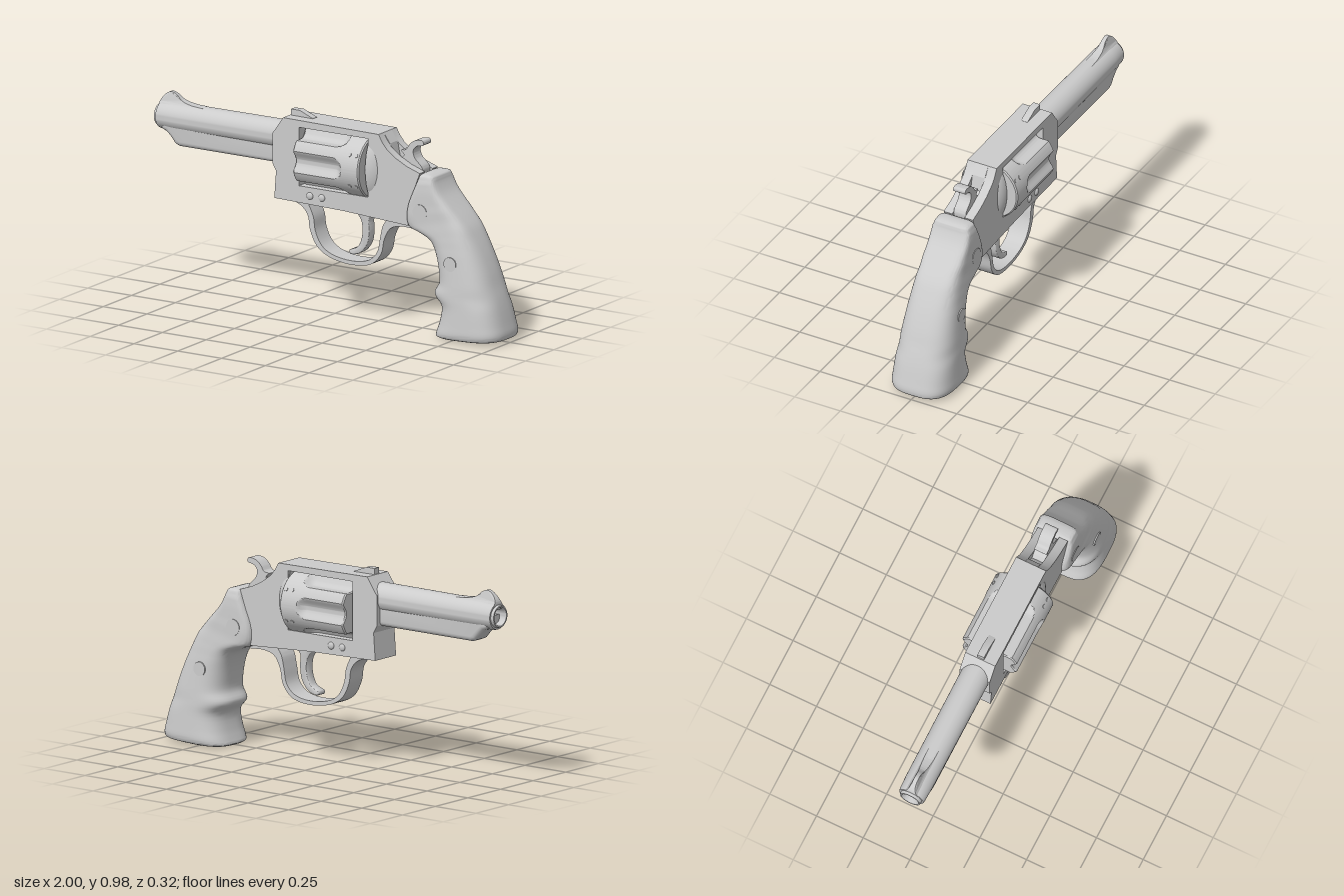
import * as THREE from 'three';
import { toCreasedNormals, mergeVertices } from 'three/addons/utils/BufferGeometryUtils.js';

const mat = new THREE.MeshStandardMaterial({ color: 0xcccccc, roughness: 0.6, side: THREE.DoubleSide });
const V2 = (p) => p.map(([x, y]) => new THREE.Vector2(x, y));

export function createModel() {
  const model = new THREE.Group();
  const add = (name, geo, x = 0, y = 0, z = 0) => {
    const m = new THREE.Mesh(geo, mat);
    m.name = name;
    m.position.set(x, y, z);
    model.add(m);
    return m;
  };

  // Side outline extruded across z, from z0 to z1, with optional bevel and hole
  const plate = (pts, z0, z1, { hole, bevel = 0, crease = 0.6 } = {}) => {
    const shape = pts.isShape ? pts : new THREE.Shape(V2(pts));
    if (hole) shape.holes.push(new THREE.Path(V2(hole)));
    const g = new THREE.ExtrudeGeometry(shape, {
      depth: z1 - z0 - 2 * bevel, curveSegments: 10, bevelEnabled: bevel > 0,
      bevelSize: bevel, bevelThickness: bevel, bevelOffset: -bevel, bevelSegments: 4,
    });
    g.translate(0, 0, z0 + bevel);
    return toCreasedNormals(g, crease);
  };

  // Smooth closed outline through a few points
  const smooth = (pts, n = 70, closed = true) =>
    new THREE.CatmullRomCurve3(pts.map(([x, y]) => new THREE.Vector3(x, y, 0)), closed)
      .getPoints(n).slice(0, closed ? n : n + 1).map((p) => [p.x, p.y]);

  // Surface from a grid of points, closed around its columns
  const loft = (rows, cols, fn, crease) => {
    const pos = [], idx = [];
    for (let i = 0; i <= rows; i++)
      for (let j = 0; j < cols; j++) pos.push(...fn(i, (j / cols) * Math.PI * 2));
    for (let i = 0; i < rows; i++)
      for (let j = 0; j < cols; j++) {
        const a = i * cols + j, b = i * cols + ((j + 1) % cols);
        idx.push(a, a + cols, b, b, a + cols, b + cols);
      }
    const g = new THREE.BufferGeometry();
    g.setAttribute('position', new THREE.Float32BufferAttribute(pos, 3));
    g.setIndex(idx);
    return toCreasedNormals(mergeVertices(g, 1e-5), crease);
  };

  // Profile of [x, radius] turned about the x axis
  const turned = (pts, crease = 0.5) =>
    toCreasedNormals(new THREE.LatheGeometry(V2(pts.map(([x, r]) => [r, x])), 48).rotateZ(-Math.PI / 2), crease);

  // Barrel with hollow muzzle
  add('barrel', turned([
    [-0.6, 0], [-0.6, 0.042], [-0.99, 0.042], [-1, 0.046], [-1, 0.053], [-0.985, 0.056],
    [-0.985, 0.064], [-0.975, 0.067], [-0.9, 0.07], [-0.2, 0.073],
  ]), 0, 0.848);

  // Rounded lug below the barrel
  add('barrelLug', plate([
    [-0.2, 0.715], [-0.86, 0.715], [-0.885, 0.725], [-0.91, 0.755], [-0.935, 0.778],
    [-0.965, 0.79], [-0.965, 0.85], [-0.2, 0.85],
  ], -0.056, 0.056, { bevel: 0.026 }));

  // Front sight, narrowing towards its top
  const sight = plate([
    ...smooth([[-0.985, 0.88], [-0.985, 0.92], [-0.96, 0.955], [-0.93, 0.97], [-0.9, 0.962],
      [-0.865, 0.935], [-0.81, 0.92], [-0.74, 0.915]], 28, false), [-0.74, 0.88],
  ], -1, 1);
  const sp = sight.attributes.position;
  for (let i = 0; i < sp.count; i++) {
    const k = THREE.MathUtils.clamp((0.97 - sp.getY(i)) / 0.09, 0, 1);
    sp.setZ(i, sp.getZ(i) * (0.01 + 0.04 * k * k));
  }
  sight.computeVertexNormals();
  add('frontSight', sight);

  // Frame: two cheeks around a core that leaves a slot for the hammer
  const front = [[-0.245, 0.955], [-0.305, 0.87], [-0.305, 0.72], [-0.285, 0.685], [-0.295, 0.55],
    [0.1, 0.542], [0.47, 0.522], [0.465, 0.6], [0.535, 0.79]];
  const hole = [[-0.155, 0.63], [0.24, 0.63], [0.24, 0.92], [-0.155, 0.92]];
  const back = [[0.46, 0.815], [0.4, 0.845], [0.345, 0.885], [0.32, 0.915], [0.3, 0.95]];
  for (const s of [-1, 1])
    add('frameCheek', plate([...front, ...back], s < 0 ? -0.08 : 0.034, s < 0 ? -0.034 : 0.08, { hole, crease: 0.3 }));
  add('frameCore', plate([...front.slice(0, -1), [0.52, 0.755], [0.41, 0.78], [0.35, 0.83], [0.335, 0.9], [0.3, 0.95]],
    -0.034, 0.034, { hole, crease: 0.3 }));

  // Rear sight ramp on the top strap
  add('rearSight', plate([[-0.24, 0.94], [-0.24, 0.985], [-0.19, 0.985], [-0.115, 0.955], [-0.115, 0.94]], -0.018, 0.018));

  // Fluted cylinder
  const R = 0.155, x0 = -0.148, x1 = 0.232, N = 48;
  add('cylinder', loft(N + 4, 180, (i, a) => {
    const t = THREE.MathUtils.clamp((i - 2) / N, 0, 1), x = x0 + (x1 - x0) * t;
    const step = Math.PI / 3, s = R * (a - Math.round(a / step) * step), e = Math.max(0, x - 0.08);
    let r = R - 0.034 * Math.max(0, 1 - (s * s + e * e) / 0.0027);
    if (i === 0 || i === N + 4) r = 0;
    else if (i === 1 || i === N + 3) r -= 0.006;
    return [x + (i === 2 ? 0.006 : i === N + 2 ? -0.006 : 0), r * Math.sin(a), r * Math.cos(a)];
  }, 0.5), 0, 0.765);

  // Pairs of small stop notches between the flutes
  for (let k = 0; k < 6; k++)
    for (const x of [0.17, 0.208]) {
      const a = (k + 0.5) * Math.PI / 3;
      const m = add('cylinderNotch', new THREE.CylinderGeometry(0.01, 0.01, 0.006, 16),
        x, 0.765 + R * Math.sin(a), R * Math.cos(a));
      m.rotation.x = Math.PI / 2 - a;
    }

  // Rounded shield behind the cylinder
  const arc = Array.from({ length: 13 }, (_, i) => {
    const a = (i / 12) * Math.PI / 2;
    return [0.09 * Math.sin(a), Math.cos(a)];
  });
  const shield = turned([[0, 0], ...arc], 0.6);
  shield.scale(1, 0.18, 0.102);
  add('recoilShield', shield, 0.238, 0.77);

  // Trigger guard
  const outer = smooth([[-0.25, 0.548], [-0.17, 0.53], [-0.125, 0.485], [-0.11, 0.41], [-0.07, 0.335], [0, 0.292],
    [0.13, 0.272], [0.24, 0.292], [0.295, 0.35], [0.315, 0.43], [0.35, 0.485], [0.41, 0.503], [0.5, 0.5]], 60, false);
  const inner = smooth([[-0.12, 0.54], [-0.092, 0.48], [-0.08, 0.41], [-0.045, 0.345], [0.01, 0.31], [0.13, 0.292],
    [0.225, 0.31], [0.272, 0.355], [0.29, 0.43], [0.305, 0.49], [0.33, 0.528]], 50, false);
  add('triggerGuard', plate([...outer, [0.5, 0.55], [-0.25, 0.56]], -0.05, 0.05, { hole: inner }));

  // Trigger
  add('trigger', plate(smooth([[0.12, 0.56], [0.165, 0.49], [0.17, 0.42], [0.145, 0.36], [0.097, 0.335], [0.102, 0.318],
    [0.155, 0.328], [0.2, 0.38], [0.212, 0.45], [0.21, 0.5], [0.24, 0.56]]), -0.026, 0.026, { bevel: 0.005 }));

  // Hammer with curled spur
  add('hammer', plate(smooth([[0.37, 0.77], [0.39, 0.83], [0.415, 0.855], [0.398, 0.877], [0.425, 0.883], [0.445, 0.91],
    [0.475, 0.934], [0.522, 0.938], [0.525, 0.918], [0.488, 0.908], [0.468, 0.885], [0.475, 0.85], [0.52, 0.8],
    [0.5, 0.74]], 84), -0.033, 0.033));

  // Grip: sections of [frontX, frontY, backX, backY, half width, squareness]
  const sec = [
    [0.545, 0.79, 0.59, 0.79, 0.07, 4], [0.534, 0.783, 0.613, 0.782, 0.09, 5], [0.52, 0.745, 0.622, 0.755, 0.102, 6],
    [0.495, 0.69, 0.65, 0.705, 0.107, 6], [0.465, 0.61, 0.7, 0.65, 0.109, 6], [0.468, 0.525, 0.755, 0.595, 0.112, 5],
    [0.53, 0.498, 0.795, 0.55, 0.117, 4], [0.585, 0.47, 0.827, 0.5, 0.122, 3.2], [0.612, 0.42, 0.865, 0.43, 0.129, 2.8],
    [0.632, 0.34, 0.905, 0.34, 0.137, 2.7], [0.637, 0.27, 0.93, 0.27, 0.144, 2.7], [0.61, 0.217, 0.949, 0.22, 0.148, 2.7],
    [0.655, 0.16, 0.967, 0.165, 0.152, 2.8], [0.645, 0.08, 0.987, 0.09, 0.157, 2.9], [0.628, 0.03, 0.997, 0.045, 0.159, 3],
    [0.622, 0.01, 0.993, 0.022, 0.152, 3], [0.632, 0.002, 0.975, 0.014, 0.135, 3],
  ];
  const track = (f) => new THREE.CatmullRomCurve3(sec.map((s) => new THREE.Vector3(...f(s))));
  const fCurve = track((s) => [s[0], s[1], 0]), bCurve = track((s) => [s[2], s[3], 0]);
  const wCurve = track((s) => [s[4], s[5] / 10, 0]);
  const rows = 64;
  add('grip', loft(rows + 2, 56, (i, a) => {
    const t = THREE.MathUtils.clamp((i - 1) / rows, 0, 1);
    const f = fCurve.getPoint(t), b = bCurve.getPoint(t), w = wCurve.getPoint(t);
    const cap = i === 0 || i === rows + 2 ? 0 : 1;
    const pw = (v) => cap * Math.sign(v) * Math.abs(v) ** (0.2 / w.y);
    const p = f.lerp(b, 0.5 + 0.5 * pw(Math.cos(a)));
    return [p.x, p.y, -w.x * pw(Math.sin(a))];
  }, 0.9));

  // Screws through the grip and pins in the frame
  for (const s of [-1, 1]) {
    for (const [x, y, r, z] of [[0.555, 0.605, 0.04, 0.1], [0.742, 0.38, 0.035, 0.124]])
      add('gripScrew', new THREE.CylinderGeometry(r, r, 0.024, 32).rotateX(Math.PI / 2), x, y, s * z);
    for (const x of [-0.092, -0.024])
      add('framePin', new THREE.SphereGeometry(0.018, 20, 12).scale(1, 1, 0.5), x, 0.588, s * 0.08);
  }

  return model;
}
